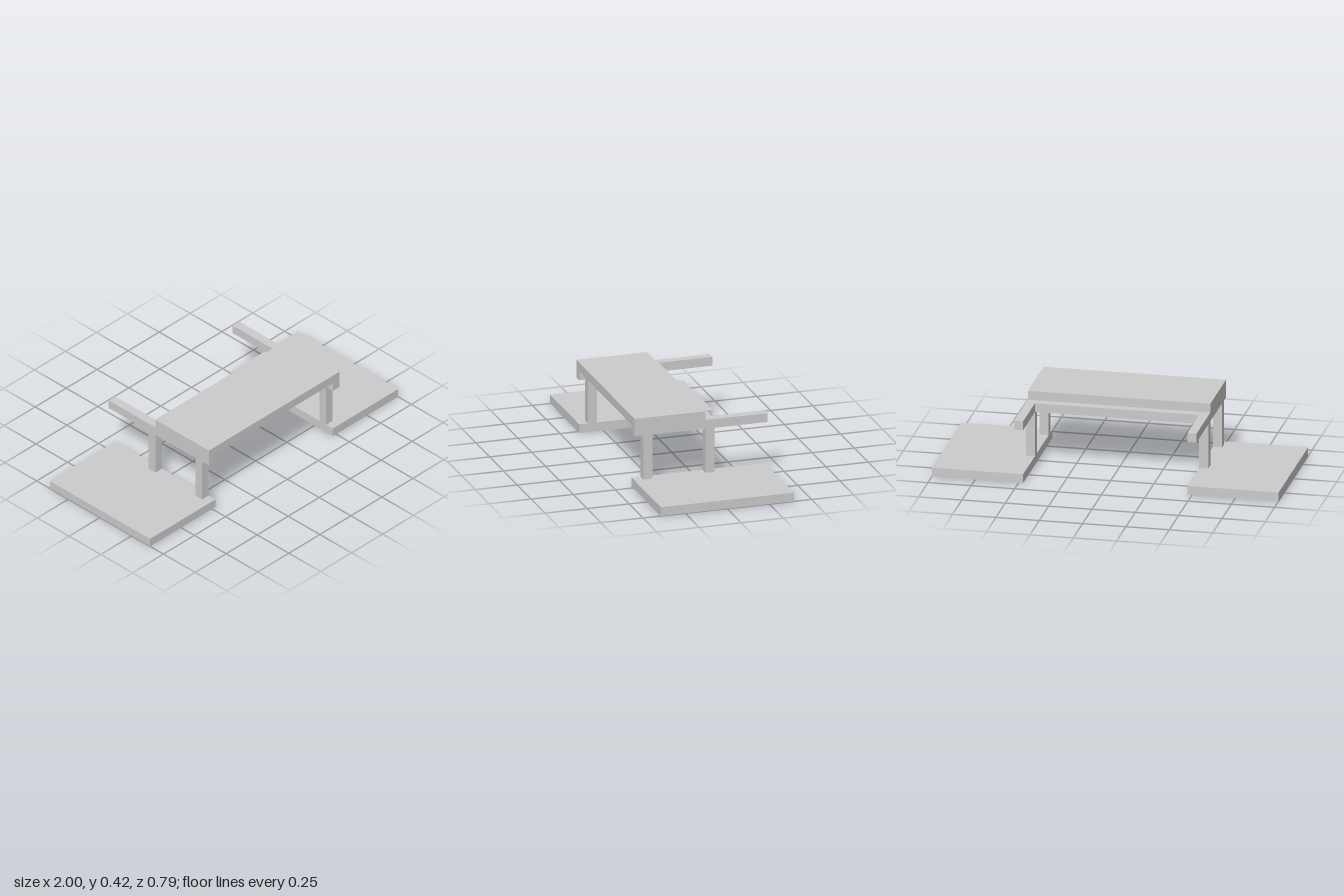
import * as THREE from 'three';

const U = 1 / 19; // thickness of every board and beam

export function createModel() {
  const model = new THREE.Group();
  const material = new THREE.MeshStandardMaterial({ color: 0xcccccc, flatShading: true });

  // Box given by its extents, in board thicknesses
  function box(name, [x0, x1], [y0, y1], [z0, z1]) {
    const mesh = new THREE.Mesh(
      new THREE.BoxGeometry((x1 - x0) * U, (y1 - y0) * U, (z1 - z0) * U), material);
    mesh.position.set((x0 + x1) * U / 2, (y0 + y1) * U / 2, (z0 + z1) * U / 2);
    mesh.name = name;
    model.add(mesh);
  }

  const frontZ = [5.5, 6.5];
  const backZ = [-1.5, -0.5];

  for (const [side, s] of [['left', 1], ['right', -1]]) {
    const span = (a, b) => (s > 0 ? [a, b] : [-b, -a]);
    // Ground plate, two posts and the long rail resting on them
    box(side + 'BasePlate', span(9, 19), [0, 1], [-7.5, 7.5]);
    box(side + 'FrontPost', span(9, 10), [1, 6], frontZ);
    box(side + 'BackPost', span(9, 10), [1, 6], backZ);
    box(side + 'Rail', span(9, 10), [6, 7], [-7.5, 7.5]);
  }

  // Beams between the rails
  box('frontCrossBeam', [-9, 9], [6, 7], frontZ);
  box('backCrossBeam', [-9, 9], [6, 7], backZ);

  // Deck board on top
  box('deck', [-10, 10], [7, 8], [-0.5, 7.5]);

  return model;
}
